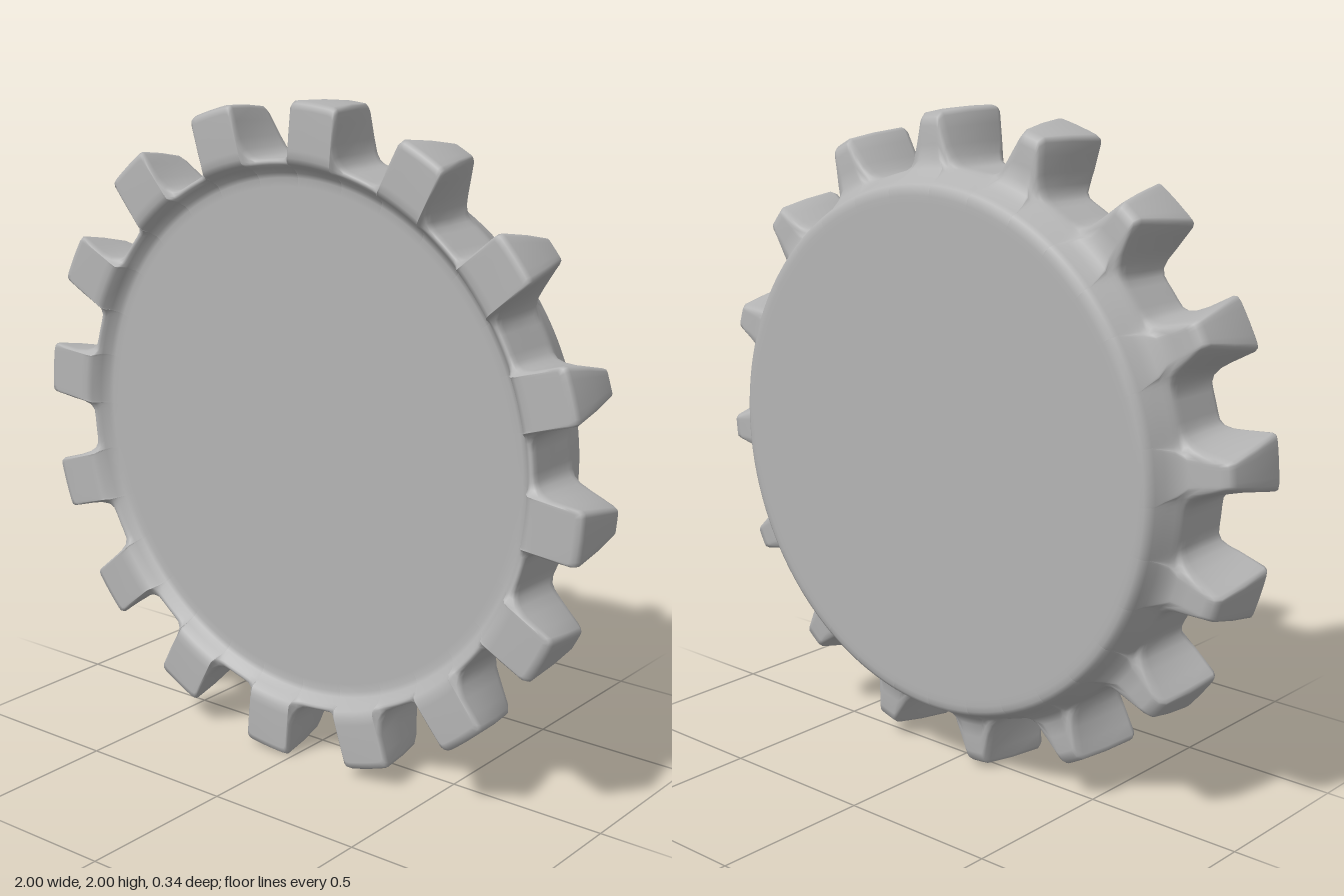
import * as THREE from 'three';

const TEETH = 16, PITCH = Math.PI * 2 / TEETH, START = -5.4 * Math.PI / 180;
const { lerp } = THREE.MathUtils;

// Half a tooth outline: [share of tooth half width, share of valley, height]
const half = [
  [0, 0, 1], [0.5, 0, 1], [0.78, 0, 1], [0.93, 0, 0.985], [1, 0, 0.92], [1, 0, 0.7],
  [1, 0, 0.4], [1, 0.04, 0.2], [1, 0.16, 0.07], [1, 0.36, 0.01], [1, 0.65, 0], [1, 1, 0],
];
// Full tooth from valley to valley; the last valley point belongs to the next tooth
const outline = [
  ...half.slice().reverse().map(([s, f, h]) => [-s, f, h]),
  ...half.slice(1, -1),
];

// Round rings of the disc: [z, radius]
const round = ([z, r]) => [z, r, z, r, 0.08, 0.08];
const frontRings = [[0.105, 0], [0.105, 0.75], [0.105, 0.775], [0.111, 0.79], [0.13, 0.807]];
const backRings = [[-0.145, 0.801], [-0.16, 0.793], [-0.168, 0.78], [-0.17, 0.762], [-0.17, 0.74], [-0.17, 0]];

// Toothed rings: [valley z, valley radius, tooth z, tooth radius, tip half width, base half width]
const toothRings = [
  [0.138, 0.815, 0.156, 0.82, 0.078, 0.08],
  [0.14, 0.82, 0.165, 0.838, 0.075, 0.078],
  [0.14, 0.823, 0.166, 0.86, 0.074, 0.078],
  [0.139, 0.827, 0.166, 0.975, 0.074, 0.078],
  [0.134, 0.831, 0.162, 0.992, 0.079, 0.081],
  [0.12, 0.833, 0.148, 1, 0.081, 0.083],
  [0.045, 0.833, 0.05, 0.998, 0.06, 0.083],
  [-0.03, 0.834, -0.04, 0.991, 0.038, 0.08],
  [-0.045, 0.834, -0.059, 0.977, 0.033, 0.078],
  [-0.054, 0.833, -0.066, 0.952, 0.032, 0.076],
  [-0.06, 0.832, -0.068, 0.9, 0.034, 0.074],
  [-0.068, 0.83, -0.073, 0.858, 0.04, 0.072],
  [-0.085, 0.824, -0.088, 0.833, 0.06, 0.072],
  [-0.115, 0.811, -0.115, 0.813, 0.07, 0.075],
];

function toothedDiscGeometry() {
  const rings = [...frontRings.map(round), ...toothRings, ...backRings.map(round)];
  const positions = [], index = [], count = TEETH * outline.length;
  for (const [zValley, rValley, zTooth, rTooth, wTip, wBase] of rings) {
    for (let t = 0; t < TEETH; t++) {
      for (const [s, f, h] of outline) {
        const r = lerp(rValley, rTooth, h);
        const z = lerp(zValley, zTooth, Math.min(1, h * 3));
        const flank = Math.asin(lerp(wBase, wTip, h) / Math.max(r, 0.78));
        const a = START + t * PITCH + Math.sign(s) * lerp(Math.abs(s) * flank, PITCH / 2, f);
        positions.push(r * Math.cos(a), r * Math.sin(a), z);
      }
    }
  }
  // Join neighbouring rings; the first and last are centre points
  for (let i = 0; i < rings.length - 1; i++) {
    for (let j = 0; j < count; j++) {
      const a = i * count + j, b = i * count + (j + 1) % count;
      const c = a + count, d = b + count;
      if (i < rings.length - 2) index.push(a, c, d);
      if (i > 0) index.push(a, d, b);
    }
  }
  const geometry = new THREE.BufferGeometry();
  geometry.setAttribute('position', new THREE.Float32BufferAttribute(positions, 3));
  geometry.setIndex(index);
  geometry.computeVertexNormals();
  return geometry;
}

export function createModel() {
  const group = new THREE.Group();
  group.name = 'toothedCap';
  const grey = new THREE.MeshStandardMaterial({ color: 0xb4b4b4 });
  grey.name = 'plain grey';

  // One smooth shell: recessed front, sixteen wedge teeth, raised back
  const body = new THREE.Mesh(toothedDiscGeometry(), grey);
  body.name = 'toothedDisc';
  body.position.y = 1;
  group.add(body);
  return group;
}
